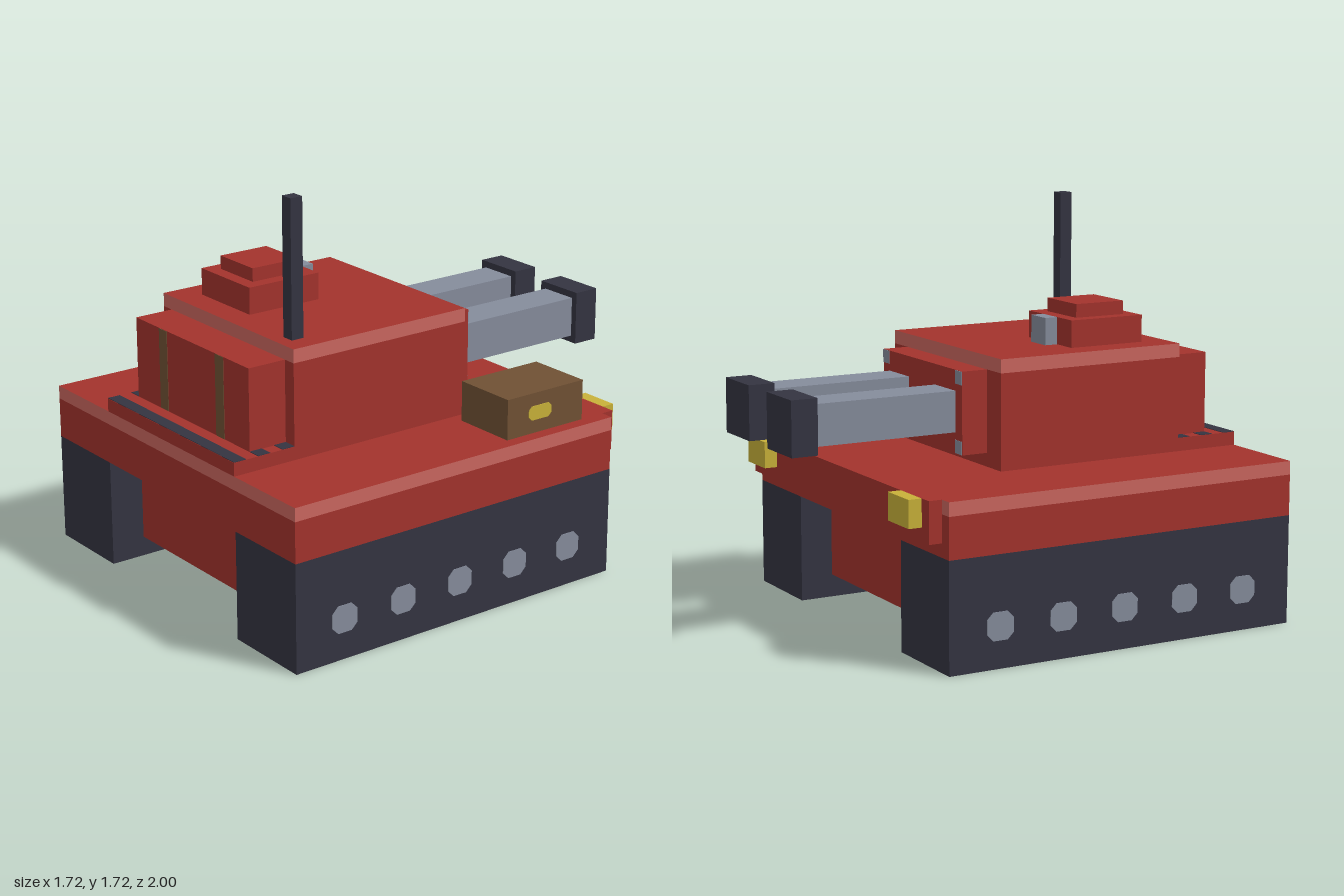
import * as THREE from 'three';

const mat = (name, color) => {
  const m = new THREE.MeshStandardMaterial({ color });
  m.name = name;
  return m;
};

export function createModel() {
  const red = mat('red', 0xa3332d);
  const lightRed = mat('light red', 0xca665f);
  const dark = mat('charcoal', 0x343441);
  const grey = mat('steel grey', 0x858c9b);
  const brown = mat('brown', 0x705134);
  const yellow = mat('yellow', 0xc8b139);

  const model = new THREE.Group();
  model.name = 'tank';

  const add = (name, geometry, material) => {
    const mesh = new THREE.Mesh(geometry, material);
    mesh.name = name;
    model.add(mesh);
    return mesh;
  };

  // Box given by its extents on each axis
  const box = (name, material, [x0, x1], [y0, y1], [z0, z1]) => {
    const mesh = add(name, new THREE.BoxGeometry(x1 - x0, y1 - y0, z1 - z0), material);
    mesh.position.set((x0 + x1) / 2, (y0 + y1) / 2, (z0 + z1) / 2);
    return mesh;
  };

  // The same box on both sides
  const pair = (name, material, [x0, x1], y, z) => {
    box(name + 'Left', material, [x0, x1], y, z);
    box(name + 'Right', material, [-x1, -x0], y, z);
  };

  // Thin plate with cut corners, lying on a side face
  const sidePlate = (name, material, x, y, z, w, h, c) => {
    const a = w / 2, b = h / 2;
    const shape = new THREE.Shape([
      [-a + c, -b], [a - c, -b], [a, -b + c], [a, b - c],
      [a - c, b], [-a + c, b], [-a, b - c], [-a, -b + c],
    ].map(([u, v]) => new THREE.Vector2(u, v)));
    const g = new THREE.ExtrudeGeometry(shape, { depth: 0.006, bevelEnabled: false });
    g.translate(0, 0, -0.003);
    g.rotateY(Math.PI / 2);
    add(name, g, material).position.set(x, y, z);
  };

  // Light band around the sides, red on top
  const band = [lightRed, lightRed, red, red, lightRed, lightRed];

  // Running gear
  pair('track', dark, [0.46, 0.855], [0, 0.458], [-0.6, 1]);
  for (const s of [-1, 1]) {
    for (let i = 0; i < 5; i++) {
      sidePlate('wheelHub', grey, s * 0.855, 0.172, 0.77 - i * 0.286, 0.12, 0.115, 0.028);
    }
  }

  // Hull
  box('lowerHull', red, [-0.4, 0.4], [0.115, 0.458], [-0.485, 0.885]);
  box('upperHull', red, [-0.855, 0.855], [0.458, 0.629], [-0.6, 1]);
  box('hullBand', band, [-0.855, 0.855], [0.629, 0.686], [-0.6, 1]);
  box('nosePlate', red, [-0.8, 0.8], [0.515, 0.686], [-0.657, -0.6]);
  pair('headlight', yellow, [0.572, 0.743], [0.572, 0.686], [-0.714, -0.657]);

  // Turret
  box('turret', red, [-0.458, 0.458], [0.686, 1.086], [-0.143, 0.714]);
  box('turretBand', band, [-0.458, 0.458], [1.086, 1.143], [-0.143, 0.714]);
  box('mantlet', red, [-0.343, 0.343], [0.743, 1.086], [-0.257, -0.143]);
  for (const y of [0.743, 1.029]) {
    pair('mantletBolt', grey, [0.288, 0.342], [y + 0.001, y + 0.056], [-0.26, -0.256]);
  }

  // Twin guns
  pair('gunBarrel', grey, [0.115, 0.286], [0.829, 1], [-0.89, -0.257]);
  pair('muzzle', dark, [0.086, 0.314], [0.8, 1.029], [-1, -0.886]);

  // Stowage bin with straps, on a ledge with dark panels
  box('stowageBin', red, [-0.4, 0.4], [0.743, 1.086], [0.714, 0.886]);
  pair('strap', brown, [0.172, 0.229], [0.744, 1.085], [0.884, 0.888]);
  box('ledge', red, [-0.458, 0.458], [0.686, 0.743], [0.714, 1]);
  box('ledgePanel', dark, [-0.457, 0.457], [0.741, 0.745], [0.943, 0.999]);
  for (const z of [0.714, 0.829]) {
    pair('ledgeVent', dark, [0.4, 0.457], [0.741, 0.745], [z, z + 0.057]);
  }

  // Cupola, periscope and antenna
  box('cupola', red, [-0.343, 0], [1.143, 1.257], [0.257, 0.6]);
  box('hatch', red, [-0.286, -0.057], [1.257, 1.314], [0.314, 0.543]);
  box('periscope', grey, [-0.229, -0.115], [1.143, 1.257], [0.2, 0.257]);
  box('antenna', dark, [0.311, 0.367], [1.143, 1.715], [0.6, 0.656]);

  // Crate on the deck
  box('crate', brown, [0.514, 0.8], [0.686, 0.857], [-0.486, -0.086]);
  sidePlate('crateLatch', yellow, 0.8, 0.772, -0.257, 0.12, 0.06, 0.016);

  return model;
}
